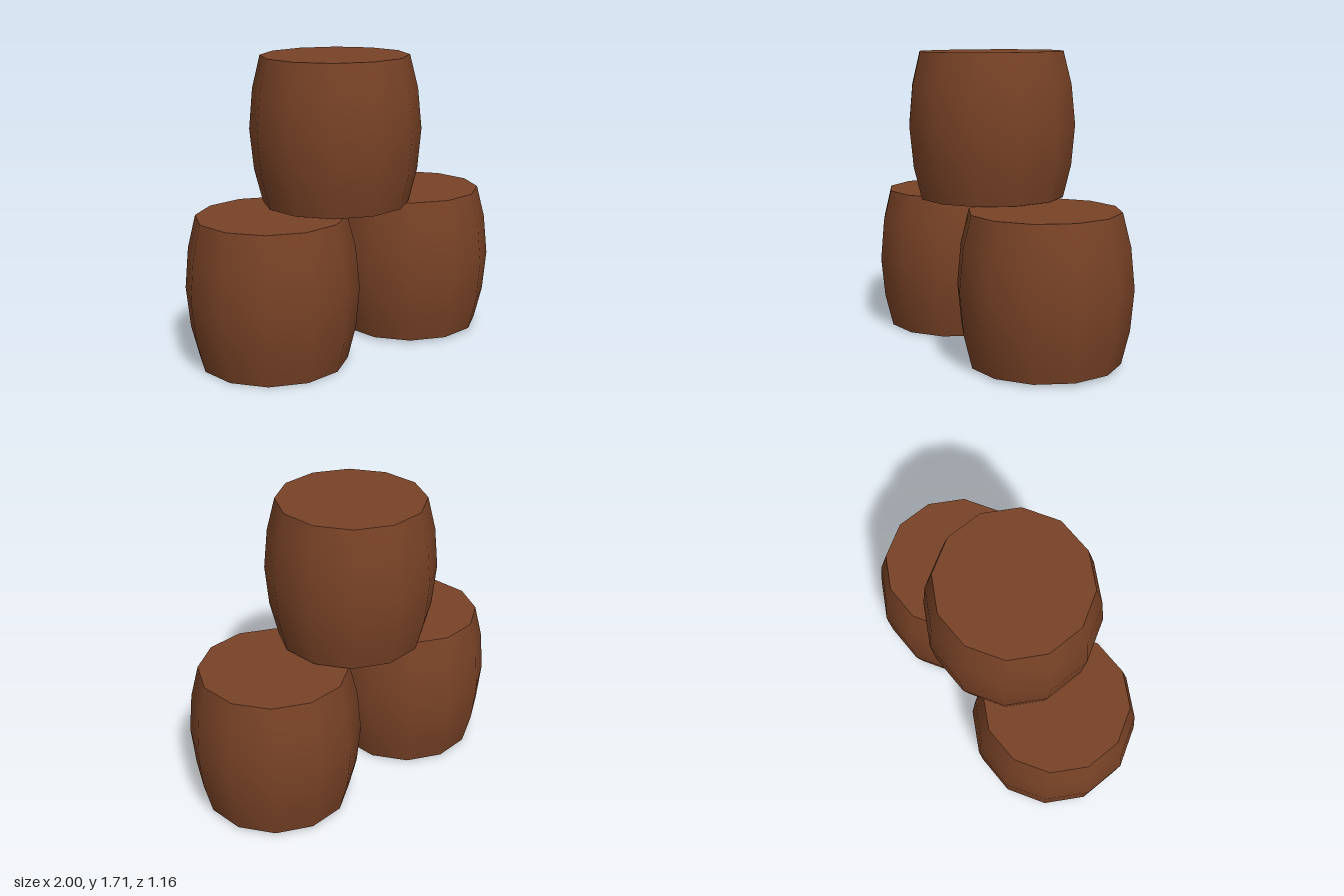
import * as THREE from 'three';

const HEIGHT = 0.848;
const END_RADIUS = 0.425;
const SPIN = 0.164; // turn of the twelve staves about the barrel axis
const TILT = 0.007; // slight lean shared by all barrels
const SIDES = 12;

export function createModel() {
  const wood = new THREE.MeshStandardMaterial({ color: 0x784226 });
  wood.name = 'brown wood';

  // Bulging wall, smooth along and around
  const profile = [
    [END_RADIUS, 0], [0.472, 0.19], [0.494, HEIGHT / 2], [0.472, HEIGHT - 0.19], [END_RADIUS, HEIGHT],
  ].map(([r, y]) => new THREE.Vector2(r, y));
  const wall = new THREE.LatheGeometry(profile, SIDES).rotateY(SPIN);

  // Flat ends with sharp rims
  const end = (up, y) => new THREE.CircleGeometry(END_RADIUS, SIDES)
    .rotateX(up ? -Math.PI / 2 : Math.PI / 2).rotateY(SPIN).translate(0, y, 0);
  const parts = { barrelWall: wall, barrelLid: end(true, HEIGHT), barrelBase: end(false, 0) };

  const model = new THREE.Group();
  model.name = 'barrelStack';

  // Two barrels on the ground, one resting on top
  const places = {
    rightBarrel: [-0.51, 0.003, -0.097],
    leftBarrel: [0.513, 0.014, 0.092],
    topBarrel: [-0.066, 0.864, -0.007],
  };
  for (const [name, position] of Object.entries(places)) {
    const barrel = new THREE.Group();
    barrel.name = name;
    for (const [part, geometry] of Object.entries(parts)) {
      const mesh = new THREE.Mesh(geometry, wood);
      mesh.name = part;
      barrel.add(mesh);
    }
    barrel.position.set(...position);
    barrel.rotation.z = TILT;
    model.add(barrel);
  }
  return model;
}
